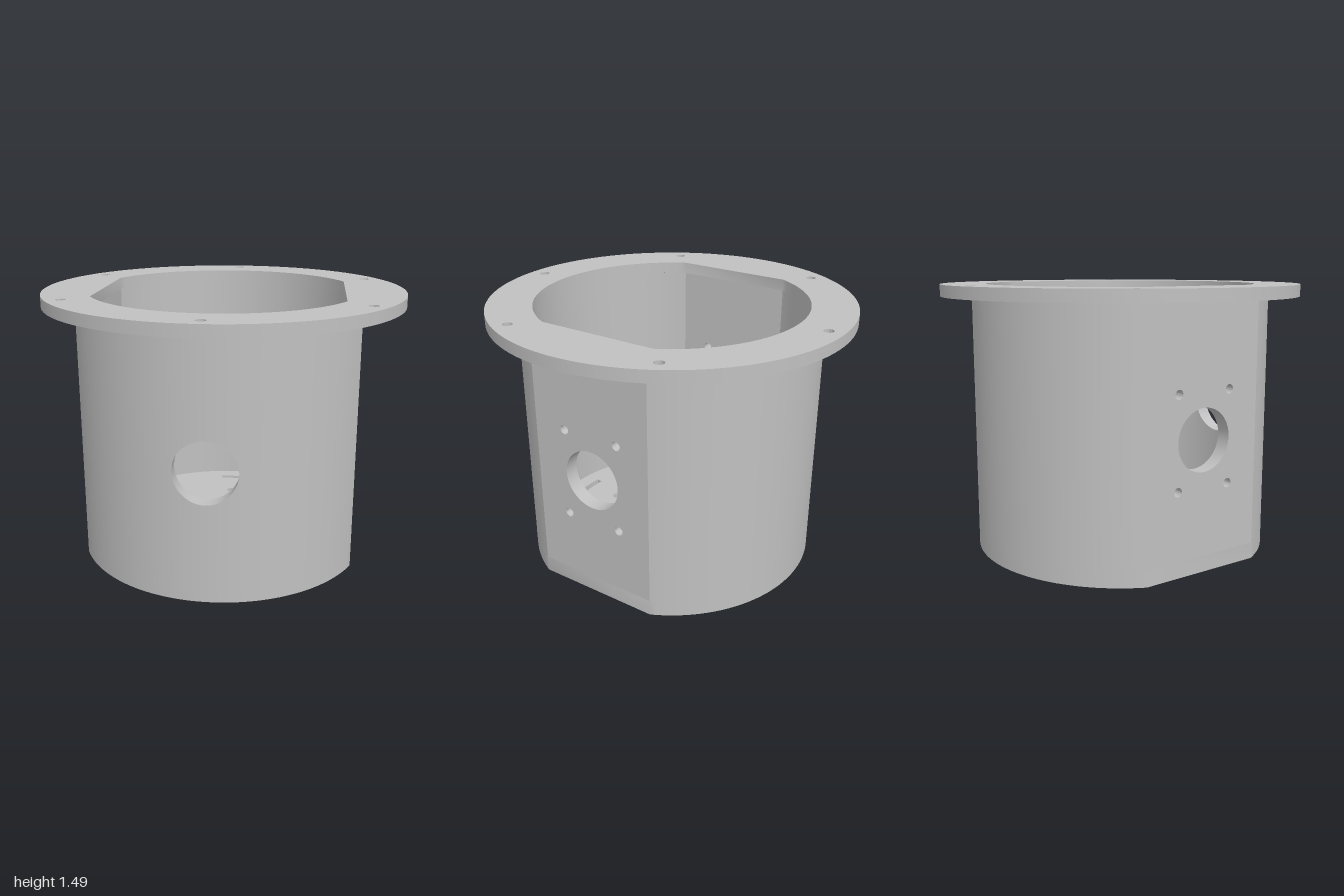
import * as THREE from 'three';
import { mergeGeometries, toCreasedNormals } from 'three/addons/utils/BufferGeometryUtils.js';

const OUTER = 0.83, INNER = 0.75;          // wall radii
const FLAT_OUT = 0.75, FLAT_IN = 0.669;    // distance of the flats from the axis
const FLOOR = 0.09, RIM = 1.42, TOP = 1.485;
const PORT_Y = 0.71, PORT_R = 0.168;

const range = (n, f) => Array.from({ length: n }, (_, i) => f(i));

// Round hole path
function hole(x, y, r) {
  return new THREE.Path().absarc(x, y, r, 0, Math.PI * 2, true);
}

// Circle with two opposite flats facing +x and -x
function outline(radius, flat) {
  const half = Math.acos(flat / radius), n = 48;
  return [0, Math.PI].flatMap(turn => range(n + 1, i => {
    const a = turn + half + (Math.PI - 2 * half) * i / n;
    return new THREE.Vector2(radius * Math.cos(a), radius * Math.sin(a));
  }));
}

// Horizontal plate from a shape in x, z
function plate(shape, bottom, top, curveSegments) {
  const g = new THREE.ExtrudeGeometry(shape, { depth: top - bottom, bevelEnabled: false, curveSegments });
  g.rotateX(Math.PI / 2).translate(0, top, 0);
  return toCreasedNormals(g, 0.5);
}

// Smooth band between two rows of points
function strip(lower, upper, flip = false) {
  const n = lower.length, index = [];
  for (let i = 0; i < n - 1; i++) {
    const a = i, b = i + 1, c = n + i, d = n + i + 1;
    if (flip) index.push(a, b, c, b, d, c);
    else index.push(a, c, b, b, c, d);
  }
  const g = new THREE.BufferGeometry();
  g.setAttribute('position', new THREE.Float32BufferAttribute([...lower, ...upper].flat(), 3));
  g.setIndex(index);
  g.computeVertexNormals();
  return g;
}

// One skin of a curved wall on the +z side, optionally pierced by the port
function curvedSkin(radius, flat, inward, pierced) {
  const half = Math.acos(flat / radius);
  const edge = Math.acos(PORT_R / radius);
  const band = (angles, low, high) => {
    const row = f => angles.map(a => [radius * Math.cos(a), f(radius * Math.cos(a)), radius * Math.sin(a)]);
    return strip(row(low), row(high), inward);
  };
  const bottom = () => FLOOR, top = () => RIM;
  const sweep = (from, to, n) => range(n + 1, i => from + (to - from) * i / n);
  if (!pierced) return [band(sweep(half, Math.PI - half, 48), bottom, top)];
  const across = range(33, i => Math.acos(PORT_R * Math.cos(Math.PI * i / 32) / radius));
  const rise = x => Math.sqrt(Math.max(0, PORT_R ** 2 - x * x));
  return [
    band(sweep(half, edge, 20), bottom, top),
    band(across, bottom, x => PORT_Y - rise(x)),
    band(across, x => PORT_Y + rise(x), top),
    band(sweep(Math.PI - edge, Math.PI - half, 20), bottom, top),
  ];
}

// Inside surface of the port through the curved wall
function portLining() {
  const row = radius => range(65, i => {
    const t = Math.PI * 2 * i / 64, x = PORT_R * Math.cos(t);
    return [x, PORT_Y + PORT_R * Math.sin(t), Math.sqrt(radius * radius - x * x)];
  });
  return strip(row(INNER), row(OUTER));
}

// Flat wall panel with a large port and four screw holes, facing +x
function flatPanel() {
  const w = Math.sqrt(OUTER ** 2 - FLAT_OUT ** 2);
  const shape = new THREE.Shape([[-w, FLOOR], [w, FLOOR], [w, RIM], [-w, RIM]]
    .map(p => new THREE.Vector2(...p)));
  shape.holes.push(hole(0, PORT_Y, PORT_R));
  for (const sx of [-1, 1]) for (const sy of [-1, 1])
    shape.holes.push(hole(sx * 0.165, PORT_Y + sy * 0.25, 0.025));
  const g = new THREE.ExtrudeGeometry(shape, { depth: FLAT_OUT - FLAT_IN, bevelEnabled: false, curveSegments: 32 });
  g.translate(0, 0, FLAT_IN).rotateY(Math.PI / 2);
  return toCreasedNormals(g, 0.5);
}

export function createModel() {
  const model = new THREE.Group();
  model.name = 'flangedHousing';
  const grey = new THREE.MeshStandardMaterial({ color: 0xc0c0c0 });
  grey.name = 'plainGrey';
  const add = (name, geometry, turn = 0) => {
    const mesh = new THREE.Mesh(geometry, grey);
    mesh.name = name;
    mesh.rotation.y = turn;
    model.add(mesh);
  };

  // Floor with four arc slots and four screw holes
  const floor = new THREE.Shape(outline(OUTER, FLAT_OUT));
  for (let i = 0; i < 4; i++) {
    const a = i * Math.PI / 2, h = 0.137;
    const slot = new THREE.Path();
    slot.absarc(0, 0, 0.664, a - h, a + h, false);
    slot.absarc(0, 0, 0.628, a + h, a - h, true);
    slot.closePath();
    floor.holes.push(slot, hole(0.424 * Math.cos(a), 0.424 * Math.sin(a), 0.027));
  }
  add('floor', plate(floor, 0, FLOOR, 20));

  // Curved walls, the front one with a port
  add('frontWall', mergeGeometries([
    ...curvedSkin(OUTER, FLAT_OUT, false, true),
    ...curvedSkin(INNER, FLAT_IN, true, true),
    portLining(),
  ]));
  add('backWall', mergeGeometries([
    ...curvedSkin(OUTER, FLAT_OUT, false, false),
    ...curvedSkin(INNER, FLAT_IN, true, false),
  ]), Math.PI);

  // Flat side panels
  add('leftPanel', flatPanel());
  add('rightPanel', flatPanel(), Math.PI);

  // Top flange with six bolt holes
  const flange = new THREE.Shape(range(128, i =>
    new THREE.Vector2(Math.cos(i * Math.PI / 64), Math.sin(i * Math.PI / 64))));
  flange.holes.push(new THREE.Path(outline(INNER, FLAT_IN)));
  for (let i = 0; i < 6; i++) {
    const a = Math.PI / 6 + i * Math.PI / 3;
    flange.holes.push(hole(0.915 * Math.cos(a), 0.915 * Math.sin(a), 0.027));
  }
  add('flange', plate(flange, RIM, TOP, 20));

  // The flats are turned an eighth of a half circle from the sides
  model.rotation.y = Math.PI / 8;
  const root = new THREE.Group();
  root.name = 'housing';
  root.add(model);
  return root;
}
